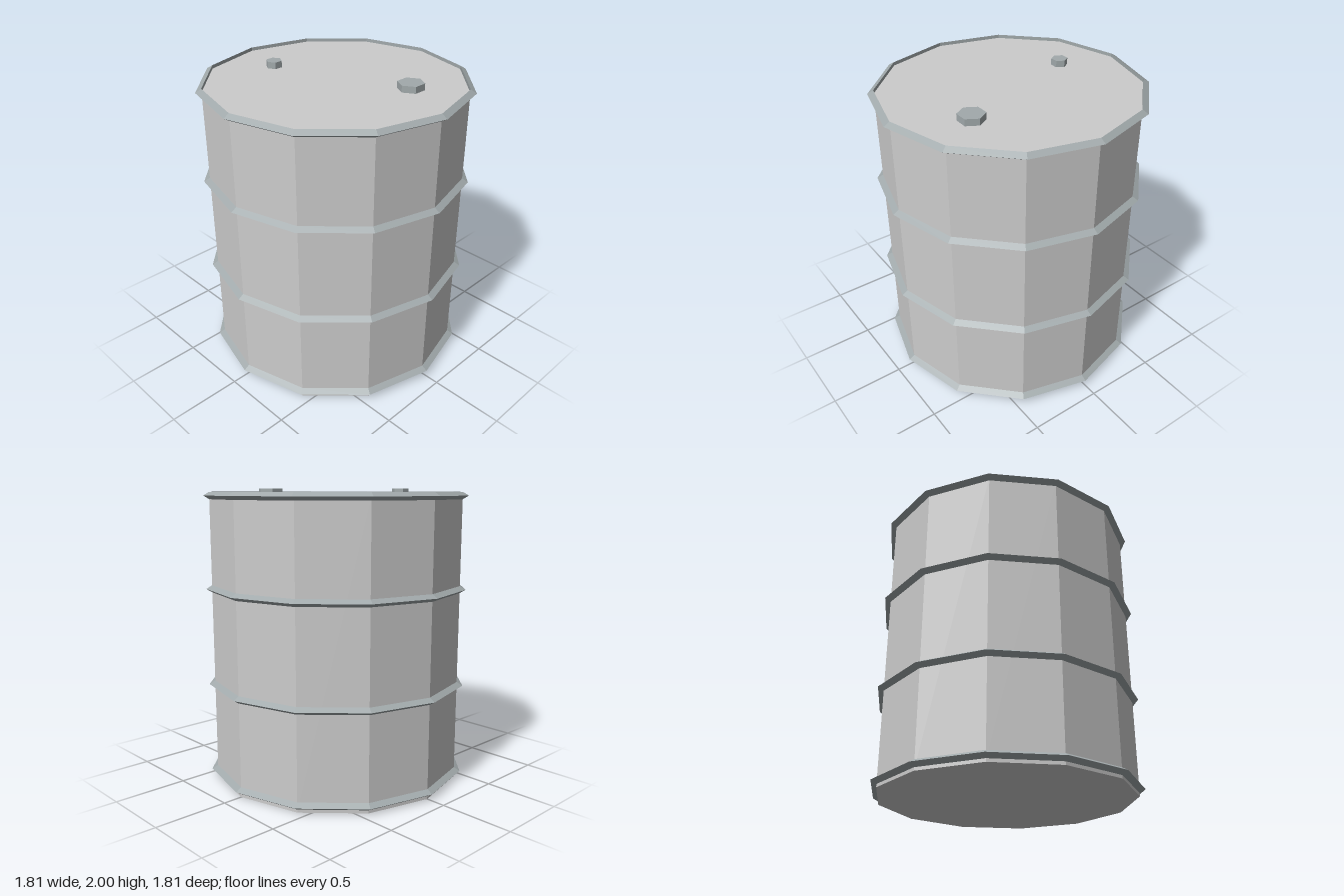
import * as THREE from 'three';

const SIDES = 12;
const RADIUS = 0.866;

export function createModel() {
  const drum = new THREE.Group();
  drum.name = 'drum';
  const shell = new THREE.MeshStandardMaterial({ color: 0xcccccc, flatShading: true });
  const trim = new THREE.MeshStandardMaterial({ color: 0xa1a9ab, flatShading: true });

  const add = (name, geometry, material, x, y, z) => {
    const mesh = new THREE.Mesh(geometry, material);
    mesh.name = name;
    mesh.position.set(x, y, z);
    drum.add(mesh);
  };

  // Twelve-sided body; its lid sits slightly below the top rim
  const lidY = 1.955;
  add('body', new THREE.CylinderGeometry(RADIUS, RADIUS, lidY, SIDES), shell, 0, lidY / 2, 0);

  // Four hoops with a triangular section, pointed outwards
  const half = 0.024;
  const section = [[RADIUS, -half], [0.906, 0], [RADIUS, half], [RADIUS, -half]]
    .map(([r, y]) => new THREE.Vector2(r, y));
  const hoop = new THREE.LatheGeometry(section, SIDES);
  const hoops = { bottomHoop: 0.045, lowerHoop: 0.667, upperHoop: 1.333, topRim: 1.955 };
  for (const [name, y] of Object.entries(hoops)) add(name, hoop, trim, 0, y, 0);

  // Hexagonal caps on the lid
  const addCap = (name, radius, x, z) => {
    const height = 2 - lidY;
    add(name, new THREE.CylinderGeometry(radius, radius, height, 6), trim, x, lidY + height / 2, z);
  };
  addCap('largeCap', 0.089, 0.443, -0.224);
  addCap('smallCap', 0.055, -0.489, 0.109);

  return drum;
}
